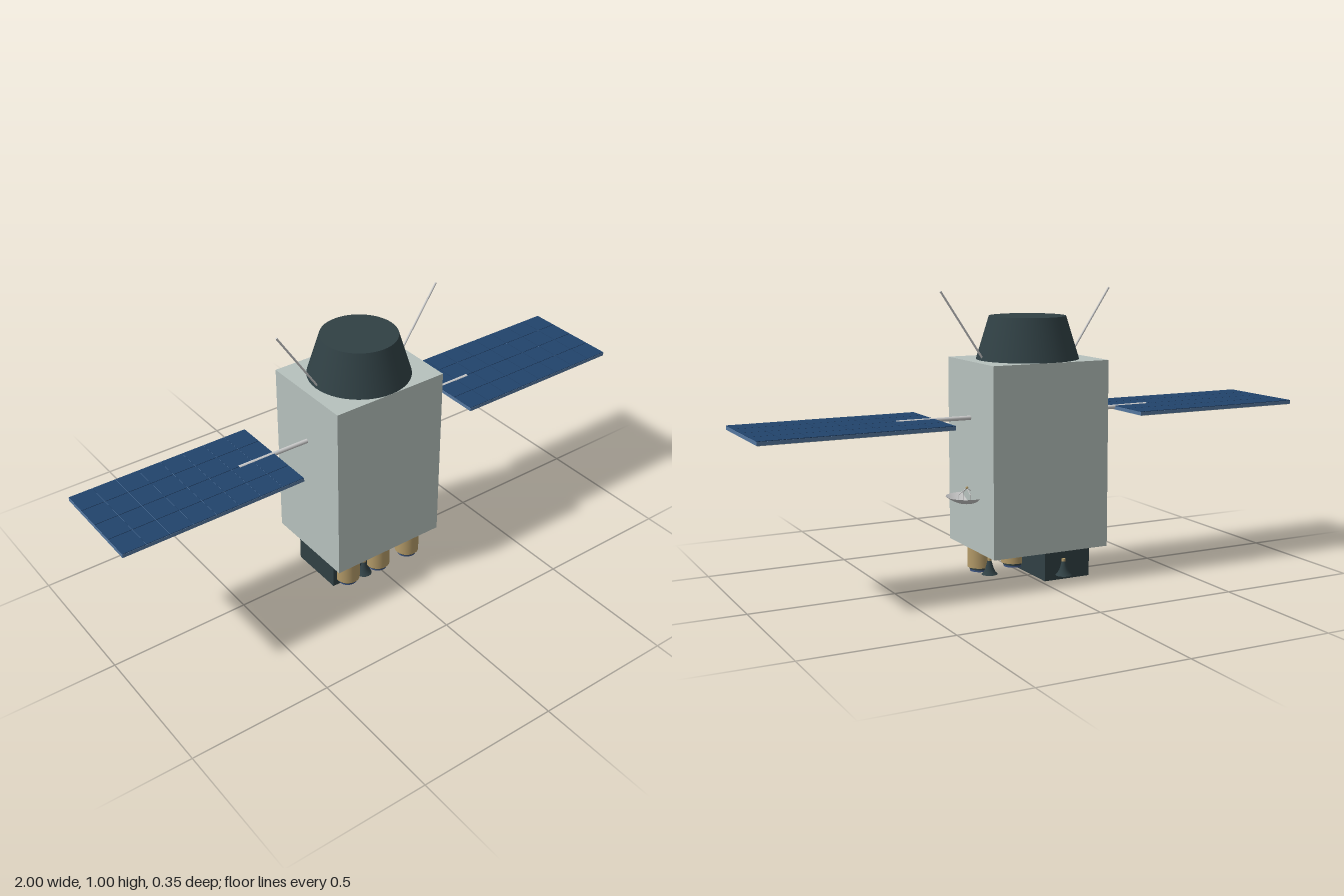
import * as THREE from 'three';

const mat = (color, opts = {}) => {
  const m = new THREE.MeshStandardMaterial({ color });
  return Object.assign(m, opts);
};
const hull = mat(0xb6c1bd), dark = mat(0x304044), tan = mat(0xb39a68), metal = mat(0xcccccc);
const cellBlue = mat(0x21436b), frameBlue = mat(0x55779f), lensBlue = mat(0x3c5482);
const darkOpen = mat(0x304044, { side: THREE.DoubleSide });
const metalOpen = mat(0xcccccc, { side: THREE.DoubleSide });

function add(parent, name, geometry, material, x = 0, y = 0, z = 0) {
  const mesh = new THREE.Mesh(geometry, material);
  mesh.name = name;
  mesh.position.set(x, y, z);
  parent.add(mesh);
  return mesh;
}

function group(parent, name, x = 0, y = 0, z = 0) {
  const g = new THREE.Group();
  g.name = name;
  g.position.set(x, y, z);
  parent.add(g);
  return g;
}

// Thin round bar between two points
function rod(parent, name, a, b, r, material) {
  const from = new THREE.Vector3(...a), to = new THREE.Vector3(...b);
  const mid = from.clone().add(to).multiplyScalar(0.5);
  const mesh = add(parent, name, new THREE.CylinderGeometry(r, r, from.distanceTo(to), 12), material, mid.x, mid.y, mid.z);
  mesh.quaternion.setFromUnitVectors(new THREE.Vector3(0, 1, 0), to.sub(from).normalize());
  return mesh;
}

const lathe = (points, segments = 32) =>
  new THREE.LatheGeometry(points.map(p => new THREE.Vector2(...p)), segments);

export function createModel() {
  const model = new THREE.Group();
  model.name = 'satellite';

  // Main bus and the tapered shroud on top
  add(model, 'body', new THREE.BoxGeometry(0.434, 0.645, 0.354), hull, 0, 0.4425, 0);
  add(model, 'shroud', new THREE.CylinderGeometry(0.132, 0.177, 0.147, 48), dark, 0, 0.8375, 0);

  for (const s of [-1, 1]) {
    const side = s > 0 ? 'left' : 'right';
    rod(model, side + 'Antenna', [s * 0.172, 0.775, 0], [s * 0.322, 1, 0], 0.0035, metal);

    // Solar wing: boom, frame, grey back and a grid of cells
    const wing = group(model, side + 'SolarWing');
    rod(wing, 'boom', [s * 0.2, 0.574, 0], [s * 0.483, 0.576, 0], 0.0075, metal);
    add(wing, 'panelFrame', new THREE.BoxGeometry(0.65, 0.012, 0.354), frameBlue, s * 0.675, 0.572, 0);
    add(wing, 'panelBack', new THREE.BoxGeometry(0.646, 0.002, 0.35), hull, s * 0.675, 0.5655, 0);
    const cols = 8, rows = 4, w = 0.65 / cols, d = 0.354 / rows;
    const cell = new THREE.BoxGeometry(w - 0.002, 0.002, d - 0.002);
    for (let i = 0; i < cols; i++) for (let j = 0; j < rows; j++)
      add(wing, 'solarCell', cell, cellBlue, s * (0.35 + (i + 0.5) * w), 0.579, -0.177 + (j + 0.5) * d);
  }

  // Dish with its feed on four struts
  const dish = group(model, 'dish', 0.232, 0.28, 0);
  const bowl = [];
  for (let i = 0; i <= 8; i++) bowl.push([0.072 * i / 8, 0.027 * (i / 8) ** 2]);
  add(dish, 'bowl', lathe(bowl, 40), metalOpen);
  for (let i = 0; i < 4; i++) {
    const a = i * Math.PI / 2;
    rod(dish, 'feedStrut', [0.03 * Math.cos(a), 0.008, 0.03 * Math.sin(a)].map((v, k) => k === 1 ? 0.034 : v),
      [0, 0.054, 0], 0.0015, metal);
    rod(dish, 'feedLeg', [0.03 * Math.cos(a), 0.005, 0.03 * Math.sin(a)],
      [0.03 * Math.cos(a), 0.034, 0.03 * Math.sin(a)], 0.001, metal);
  }
  add(dish, 'feed', new THREE.SphereGeometry(0.005, 12, 8), tan, 0, 0.055, 0);

  // Instrument box and the row of three sensor barrels below the body
  add(model, 'instrumentBox', new THREE.BoxGeometry(0.175, 0.12, 0.205), dark, -0.103, 0.06, 0.002);
  for (const x of [-0.133, 0, 0.133]) {
    const sensor = group(model, 'sensor', x, 0, 0.111);
    add(sensor, 'barrel', new THREE.CylinderGeometry(0.043, 0.043, 0.096, 32), tan, 0, 0.072, 0);
    add(sensor, 'neck', new THREE.CylinderGeometry(0.036, 0.036, 0.008, 32), dark, 0, 0.02, 0);
    add(sensor, 'lens', new THREE.CylinderGeometry(0.034, 0.034, 0.009, 32), lensBlue, 0, 0.0135, 0);
  }

  // Three thruster bells spaced evenly in a circle
  const bell = lathe([[0.028, 0.023], [0.021, 0.03], [0.015, 0.042], [0.011, 0.055], [0.007, 0.071]], 28);
  for (let i = 0; i < 3; i++) {
    const a = i * Math.PI * 2 / 3;
    const thruster = group(model, 'thruster', 0.148 * Math.cos(a), 0, 0.148 * Math.sin(a) || 0);
    add(thruster, 'nozzle', bell, darkOpen);
    add(thruster, 'throat', new THREE.CylinderGeometry(0.007, 0.007, 0.01, 16), tan, 0, 0.075, 0);
  }
  return model;
}
